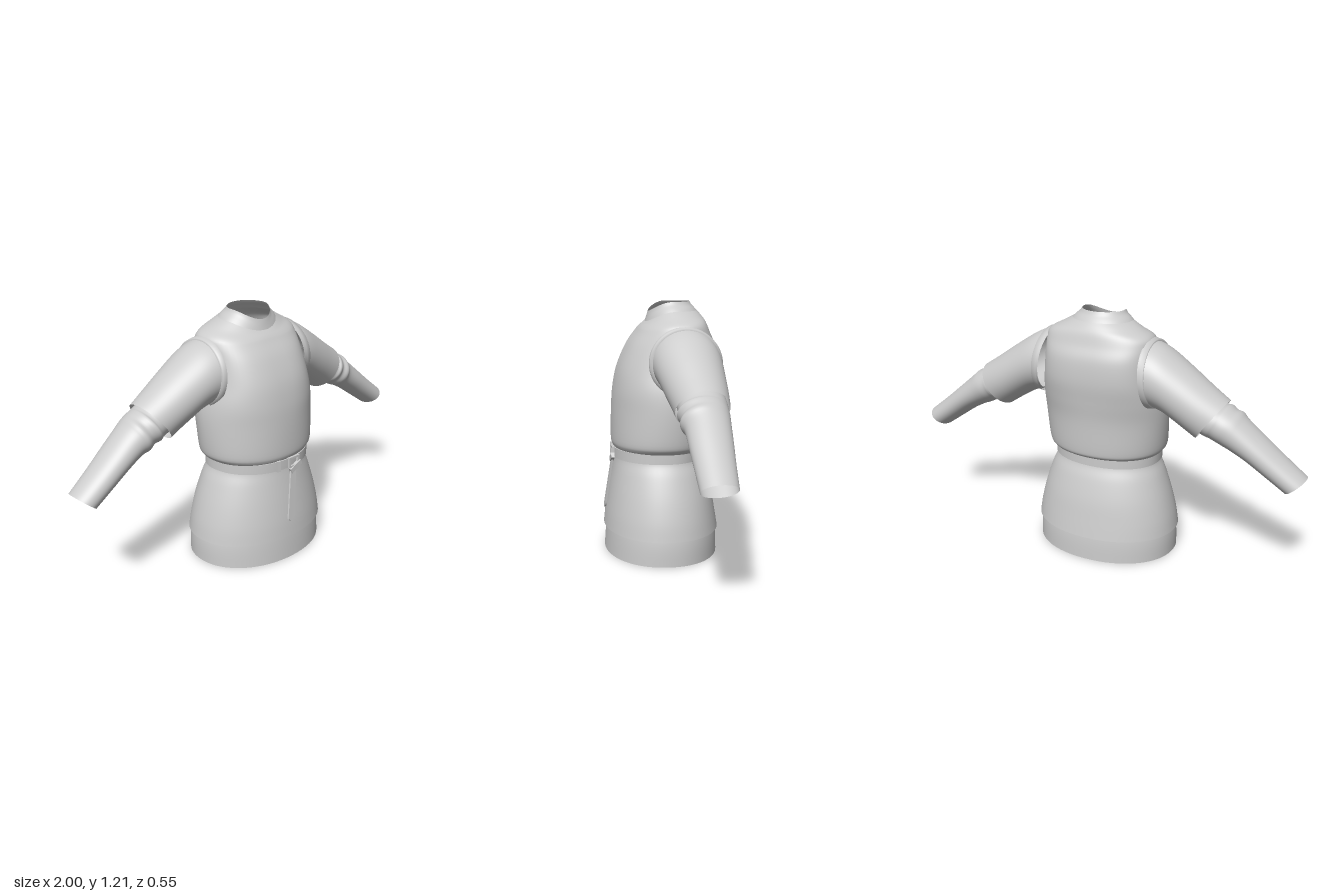
import * as THREE from 'three';
import { toCreasedNormals } from 'three/addons/utils/BufferGeometryUtils.js';

const SEGMENTS = 64;

// Smoothly resample a table of cross-section parameters
function resample(rows, steps) {
  const columns = rows[0].map((_, k) =>
    new THREE.SplineCurve(rows.map((r, i) => new THREE.Vector2(i, r[k]))));
  const count = (rows.length - 1) * steps;
  return Array.from({ length: count + 1 }, (_, i) =>
    columns.map((c) => c.getPoint(i / count).y));
}

// Skin a stack of closed rings; point(row, angle) gives [x, y, z]
function loft(rows, point) {
  const positions = [], index = [];
  rows.forEach((row, i) => {
    for (let j = 0; j < SEGMENTS; j++) {
      positions.push(...point(row, (j / SEGMENTS) * Math.PI * 2));
      if (i === rows.length - 1) continue;
      const a = i * SEGMENTS + j, b = i * SEGMENTS + (j + 1) % SEGMENTS;
      index.push(a, a + SEGMENTS, b, b, a + SEGMENTS, b + SEGMENTS);
    }
  });
  const geometry = new THREE.BufferGeometry();
  geometry.setAttribute('position', new THREE.Float32BufferAttribute(positions, 3));
  geometry.setIndex(index);
  geometry.computeVertexNormals();
  return geometry;
}

// Body ring: [side y, front y, back y, half width, side z, front z, back z, squareness]
function bodyPoint([ys, yf, yb, w, zs, zf, zb, n], angle) {
  const c = Math.cos(angle), s = Math.sin(angle);
  const power = (v) => Math.sign(v) * Math.abs(v) ** (2 / n);
  const front = s > 0;
  return [
    w * power(c),
    ys + ((front ? yf : yb) - ys) * s * s,
    zs + (front ? zf - zs : zs - zb) * power(s),
  ];
}

// Sleeve ring: [top x, top y, bottom x, bottom y, front z, back z]
const sleevePoint = (side) => ([xt, yt, xb, yb, zf, zb], angle) => {
  const c = Math.cos(angle), s = Math.sin(angle) * side;
  return [
    side * ((xt + xb) / 2 + (xt - xb) / 2 * c),
    (yt + yb) / 2 + (yt - yb) / 2 * c,
    (zf + zb) / 2 - (zf - zb) / 2 * s,
  ];
};

// Level body ring
const level = (y, w, zs, zf, zb, n = 2.1) => [y, y, y, w, zs, zf, zb, n];

export function createModel() {
  const model = new THREE.Group();
  const cloth = new THREE.MeshStandardMaterial({ color: 0xcccccc, side: THREE.DoubleSide });
  cloth.name = 'grey cloth';

  const add = (name, geometry, parent = model) => {
    const mesh = new THREE.Mesh(geometry, cloth);
    mesh.name = name;
    parent.add(mesh);
    return mesh;
  };

  // Under tunic below the hem
  add('underSkirt', loft(resample([
    level(0, 0.355, 0, 0.274, -0.27),
    level(0.12, 0.35, 0, 0.264, -0.264),
    level(0.28, 0.315, 0, 0.243, -0.235),
    level(0.44, 0.255, 0, 0.215, -0.185),
  ], 5), bodyPoint));

  // Flared outer skirt
  const skirtRows = [
    level(0.12, 0.361, 0, 0.277, -0.275),
    level(0.2, 0.348, 0, 0.268, -0.262),
    level(0.3, 0.322, 0, 0.252, -0.244),
    level(0.4, 0.287, 0, 0.234, -0.216),
    level(0.46, 0.26, 0, 0.224, -0.192),
    level(0.5, 0.255, 0, 0.222, -0.185),
  ];
  add('skirt', loft(resample(skirtRows, 5), bodyPoint));

  // Torso, bloused over the belt and closing in to the neck
  add('torso', loft(resample([
    level(0.505, 0.258, 0, 0.222, -0.188),
    level(0.522, 0.282, 0, 0.234, -0.218),
    level(0.56, 0.297, 0, 0.24, -0.228),
    level(0.7, 0.305, -0.02, 0.237, -0.235),
    level(0.8, 0.298, -0.04, 0.228, -0.247, 2.3),
    level(0.9, 0.275, -0.07, 0.205, -0.257, 2.6),
    level(1.0, 0.262, -0.08, 0.16, -0.25, 2.7),
    level(1.065, 0.262, -0.08, 0.115, -0.225, 2.5),
    [1.1, 1.085, 1.115, 0.252, -0.08, 0.1, -0.208, 2.2],
    [1.13, 1.1, 1.143, 0.2, -0.07, 0.085, -0.192, 2],
    [1.16, 1.113, 1.163, 0.145, -0.055, 0.07, -0.175, 2],
  ], 5), bodyPoint));

  // Standing collar, lower at the front
  add('collar', loft(resample([
    [1.155, 1.108, 1.158, 0.149, -0.055, 0.073, -0.178, 2],
    [1.172, 1.125, 1.175, 0.133, -0.053, 0.068, -0.164, 2],
    [1.19, 1.143, 1.19, 0.112, -0.05, 0.063, -0.15, 2],
    [1.204, 1.16, 1.206, 0.102, -0.045, 0.058, -0.14, 2],
  ], 4), bodyPoint));

  // Sleeves, mirrored
  for (const side of [1, -1]) {
    const sleeve = new THREE.Group();
    sleeve.name = side > 0 ? 'leftSleeve' : 'rightSleeve';
    model.add(sleeve);
    const point = sleevePoint(side);
    add('armholeTrim', loft([
      [0.25, 1.098, 0.27, 0.772, 0.097, -0.24],
      [0.274, 1.092, 0.296, 0.777, 0.097, -0.24],
      [0.274, 1.08, 0.296, 0.79, 0.08, -0.225],
    ], point), sleeve);
    add('upperSleeve', loft(resample([
      [0.24, 1.088, 0.27, 0.785, 0.085, -0.232],
      [0.275, 1.083, 0.3, 0.782, 0.083, -0.231],
      [0.34, 1.055, 0.35, 0.765, 0.075, -0.228],
      [0.45, 0.983, 0.41, 0.73, 0.06, -0.22],
      [0.55, 0.913, 0.455, 0.702, 0.046, -0.213],
      [0.63, 0.86, 0.495, 0.675, 0.035, -0.204],
    ], 5), point), sleeve);
    // Forearm with soft wrinkles under the short sleeve's hem
    add('lowerSleeve', loft(resample([
      [0.54, 0.895, 0.45, 0.73, 0.025, -0.193],
      [0.615, 0.845, 0.53, 0.695, 0.022, -0.192],
      [0.637, 0.838, 0.56, 0.683, 0.034, -0.188],
      [0.665, 0.822, 0.59, 0.672, 0.022, -0.186],
      [0.69, 0.81, 0.622, 0.655, 0.033, -0.182],
      [0.72, 0.782, 0.66, 0.64, 0.02, -0.177],
      [0.81, 0.707, 0.73, 0.602, 0.018, -0.166],
      [0.9, 0.633, 0.81, 0.548, 0.016, -0.154],
      [1.0, 0.555, 0.91, 0.48, 0.014, -0.142],
    ], 4), point), sleeve);
  }

  // Belt band with thickness
  add('belt', toCreasedNormals(loft([
    level(0.466, 0.25, 0, 0.215, -0.18),
    level(0.466, 0.268, 0, 0.236, -0.196),
    level(0.513, 0.268, 0, 0.236, -0.196),
    level(0.513, 0.25, 0, 0.215, -0.18),
  ], bodyPoint), 0.7));

  // Square buckle frame
  const frame = new THREE.Shape([[-0.035, -0.027], [0.035, -0.027], [0.035, 0.027], [-0.035, 0.027]]
    .map(([x, y]) => new THREE.Vector2(x, y)));
  frame.holes.push(new THREE.Path([[-0.024, -0.017], [-0.024, 0.017], [0.024, 0.017], [0.024, -0.017]]
    .map(([x, y]) => new THREE.Vector2(x, y))));
  add('buckle', new THREE.ExtrudeGeometry(frame, { depth: 0.012, bevelEnabled: false }))
    .position.set(0.03, 0.49, 0.232);

  // Keeper loop and folded knot of the strap
  const keeper = add('beltKeeper', new THREE.BoxGeometry(0.02, 0.054, 0.012));
  keeper.position.set(-0.065, 0.49, 0.232);
  keeper.rotation.y = -0.25;
  const knot = add('beltKnot', new THREE.BoxGeometry(0.075, 0.026, 0.016));
  knot.position.set(0.04, 0.463, 0.242);
  knot.rotation.z = 0.45;

  // Hanging strap end that follows the skirt and tapers to a rounded tip
  const strap = new THREE.BoxGeometry(0.042, 0.27, 0.008, 2, 20, 1);
  const p = strap.attributes.position;
  for (let i = 0; i < p.count; i++) {
    const t = 0.5 - p.getY(i) / 0.27;
    const round = Math.sqrt(Math.max(0.04, 1 - Math.max(0, (t - 0.92) / 0.08) ** 2));
    p.setXYZ(i,
      p.getX(i) * round * (0.8 + 0.25 * t) + 0.028 - 0.045 * t,
      0.47 - 0.27 * t,
      p.getZ(i) + 0.238 + 0.036 * t);
  }
  add('strapEnd', toCreasedNormals(strap, 0.7));

  return model;
}
